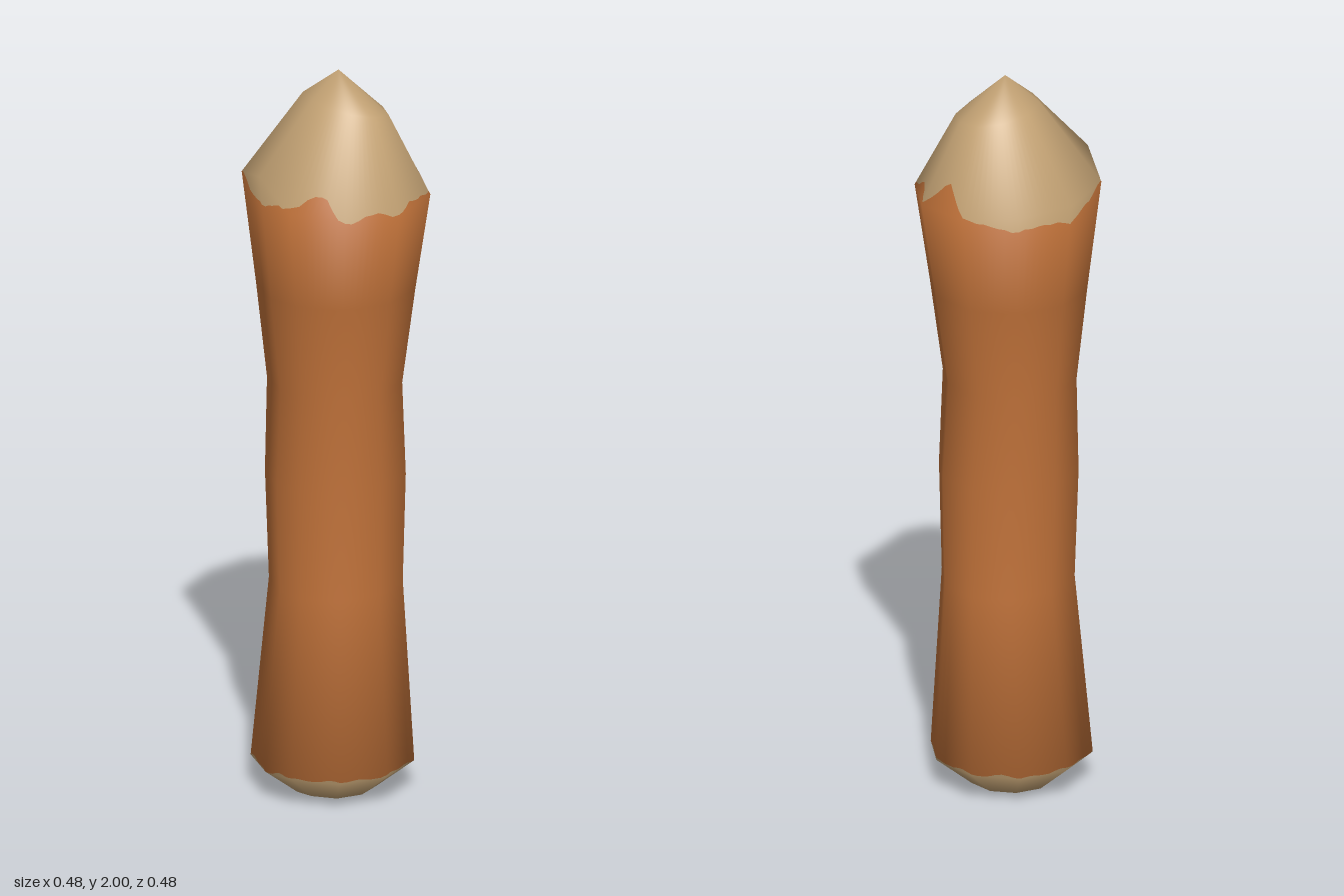
import * as THREE from 'three';

// Ten-sided rim outline: x, z and height of each corner
const RIM = [
  [0.005, -0.24, 1.675], [0.155, -0.18, 1.67], [0.238, -0.055, 1.665], [0.217, 0.105, 1.66],
  [0.11, 0.22, 1.665], [-0.04, 0.238, 1.67], [-0.14, 0.205, 1.75], [-0.24, 0.085, 1.71],
  [-0.235, -0.078, 1.70], [-0.14, -0.2, 1.69],
];
// Shaft sections: y, x scale, z scale, x shift, z shift, slope of normal
const SHAFT = [
  [0, 0.46, 0.46, -0.01, 0.008, -0.9],
  [0.08, 0.865, 0.885, -0.006, 0.012, -0.35],
  [0.58, 0.70, 0.79, 0, 0.005, 0.04],
  [0.88, 0.74, 0.80, 0, 0.008, 0],
  [1.14, 0.72, 0.69, 0, 0.015, -0.05],
  [1.40, 0.845, 0.835, 0, 0.005, -0.12],
];
// Upper edge of the coating, two heights per side
const EDGE = [1.68, 1.74, 1.68, 1.70, 1.67, 1.675, 1.66, 1.67, 1.655, 1.72,
  1.685, 1.68, 1.67, 1.675, 1.715, 1.67, 1.65, 1.66, 1.65, 1.66];
const SUB = 8, COLS = RIM.length * SUB;

const mix = (a, b, t) => a.map((v, i) => v + (b[i] - v) * t);

// One vertical line over the surface; points are [x, y, z, nx, ny, nz]
function column(c) {
  const side = Math.floor(c / SUB);
  const [x, z, rimY] = mix(RIM[side], RIM[(side + 1) % RIM.length], (c % SUB) / SUB);
  const len = Math.hypot(x, z);
  const point = (px, y, pz, ny) => {
    const h = Math.sqrt(1 - ny * ny) / len;
    return [px, y, pz, x * h, ny, z * h];
  };
  const keys = SHAFT.map(([y, sx, sz, dx, dz, ny]) => point(x * sx + dx, y, z * sz + dz, ny));
  keys.push(point(x, rimY, z, 0.3));
  const cx = x * 0.46 + 0.018, cz = z * 0.41 - 0.013;
  keys.push(point(cx, 1.91 - 0.2 * cx + 0.15 * cz, cz, 0.65));
  const at = (y) => {
    let i = 0;
    while (i < keys.length - 2 && keys[i + 1][1] < y) i++;
    return mix(keys[i], keys[i + 1], (y - keys[i][1]) / (keys[i + 1][1] - keys[i][1]));
  };

  // Wavy coating edges at the top and bottom
  const e = (c / SUB) * 2, k = Math.floor(e), f = e - k, s = f * f * (3 - 2 * f);
  const edge = EDGE[k] + (EDGE[(k + 1) % EDGE.length] - EDGE[k]) * s
    + 0.005 * Math.sin(c * 1.7) * Math.sin(c * 0.55);
  const foot = 0.083 + 0.006 * Math.sin(c * 0.9) * Math.sin(c * 0.31);
  const paintTop = at(edge), paintFoot = at(Math.max(foot, 0.08));

  return {
    base: [[-0.01, 0, 0.008, 0, -1, 0], [...keys[0].slice(0, 3), 0, -1, 0]],
    bevel: [keys[0], keys[1], paintFoot],
    coating: [paintFoot, ...keys.slice(2, 6), at(Math.min(edge, rimY)), paintTop],
    tip: [paintTop, at(Math.max(edge, rimY)), keys[7], [0, 2, 0, 0, 1, 0]],
  };
}

// Joins matching sections of neighbouring columns into a closed band
function band(columns, part) {
  const position = [], normal = [], index = [];
  const rows = columns[0][part].length;
  columns.forEach((col, c) => {
    const next = ((c + 1) % COLS) * rows;
    col[part].forEach((p, r) => {
      position.push(p[0], p[1], p[2]);
      normal.push(p[3], p[4], p[5]);
      if (r === rows - 1) return;
      const a = c * rows + r, b = next + r;
      index.push(a, a + 1, b, b, a + 1, b + 1);
    });
  });
  const geometry = new THREE.BufferGeometry();
  geometry.setAttribute('position', new THREE.Float32BufferAttribute(position, 3));
  geometry.setAttribute('normal', new THREE.Float32BufferAttribute(normal, 3));
  geometry.setIndex(index);
  geometry.normalizeNormals();
  return geometry;
}

export function createModel() {
  const orange = new THREE.MeshStandardMaterial({ name: 'orange brown', color: 0xbf7139 });
  const tan = new THREE.MeshStandardMaterial({ name: 'tan', color: 0xc3a274 });
  const columns = Array.from({ length: COLS }, (_, c) => column(c));
  const group = new THREE.Group();
  group.name = 'taperedStick';
  for (const [part, material] of [['base', tan], ['bevel', tan], ['coating', orange], ['tip', tan]]) {
    const mesh = new THREE.Mesh(band(columns, part), material);
    mesh.name = part;
    group.add(mesh);
  }
  return group;
}
